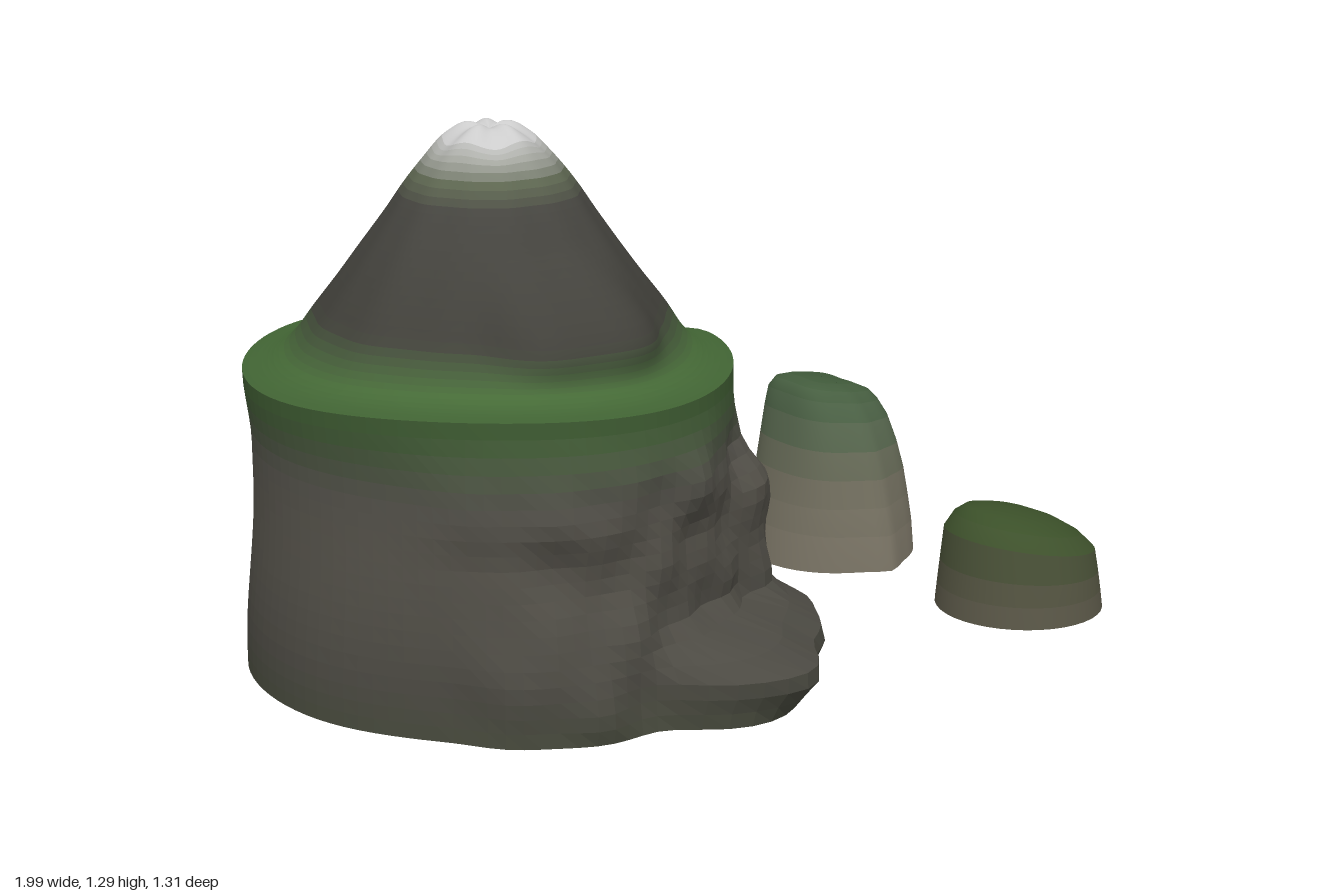
import * as THREE from 'three';

const { smoothstep, degToRad } = THREE.MathUtils;
const TAU = Math.PI * 2;

// Flat-topped bump around an angle (degrees)
function bump(a, centre, width) {
  let d = a * 180 / Math.PI - centre;
  d -= 360 * Math.round(d / 360);
  return Math.exp(-Math.pow(d / width, 4));
}

// Colour at height y from [height, hex] stops
function colourAt(stops, y) {
  const c = new THREE.Color(stops[0][1]);
  for (let i = 1; i < stops.length; i++) {
    const [y0] = stops[i - 1], [y1, hex] = stops[i];
    c.lerp(new THREE.Color(hex), THREE.MathUtils.clamp((y - y0) / (y1 - y0), 0, 1));
  }
  return c;
}

// Skins closed rings (listed from the bottom up); each strip is its own mesh so it can carry a colour
function loft(name, rings, stops, flatShading = false) {
  const n = rings[0].length;
  const geometry = new THREE.BufferGeometry().setFromPoints(rings.flat());
  const strips = [];
  for (let j = 0; j < rings.length - 1; j++) {
    const index = [];
    for (let i = 0; i < n; i++) {
      const k = (i + 1) % n;
      const a = j * n + i, b = a + n, c = (j + 1) * n + k, d = j * n + k;
      index.push(a, b, c, a, c, d);
    }
    strips.push(index);
  }
  geometry.setIndex(strips.flat());
  geometry.computeVertexNormals();

  const group = new THREE.Group();
  group.name = name;
  strips.forEach((index, j) => {
    const strip = new THREE.BufferGeometry();
    strip.setAttribute('position', geometry.attributes.position);
    strip.setAttribute('normal', geometry.attributes.normal);
    strip.setIndex(index);
    const y = (rings[j][0].y + rings[j + 1][0].y) / 2;
    const mesh = new THREE.Mesh(strip, new THREE.MeshStandardMaterial({ color: colourAt(stops, y), flatShading }));
    mesh.name = name + 'Band';
    group.add(mesh);
  });
  return group;
}

const ring = (n, point) => Array.from({ length: n }, (_, i) => point(i / n * TAU));

// Bottom cap closing a ring
function base(name, edge, hex) {
  const middle = edge.reduce((sum, p) => sum.add(p), new THREE.Vector3()).divideScalar(edge.length);
  return loft(name, [edge.map(() => middle.clone()), edge], [[0, hex]], true);
}

const SIDES = 96, RIM = 0.77, FOOT = 0.083;

// Cliff wall: an oval with rocky lobes, a low front toe and a cleft on the +x side
function cliffPoint(a, y) {
  const below = (lo, hi) => 1 - smoothstep(y, lo, hi);
  const backLobe = 0.17 * bump(a, -33, 22) * below(0.42, 0.64) * (0.85 + 0.15 * smoothstep(y, 0.08, 0.22));
  const frontLobe = 0.085 * bump(a, 26, 17) * below(0.48, 0.62);
  const toe = (0.195 * bump(a, 45, 36) + 0.045 * bump(a, 66, 14)) * below(0.18, 0.28)
    * (0.82 + 0.18 * smoothstep(y, 0.08, 0.16));
  const shoulder = 0.045 * bump(a, 106, 20) * below(0.2, 0.42);
  const belly = 0.025 * bump(a, 95, 40) * smoothstep(y, 0.45, 0.56) * below(0.62, 0.76);
  const flare = 0.015 * bump(a, 185, 35) * below(0.1, 0.5);
  const waist = 0.016 * bump(a, 180, 50) * smoothstep(y, 0.15, 0.5) * below(0.6, 0.77);
  const cleft = (0.05 + 0.05 * below(0.1, 0.7)) * Math.exp(-Math.pow(Math.sin(a / 2) * 2 / 0.1, 2));
  const rough = below(0.55, 0.75) * Math.max(bump(a, 60, 60), bump(a, -33, 24));
  const noise = 0.009 * Math.sin(11 * a + 1) * Math.sin(13 * y) + 0.008 * Math.sin(19 * a + 3) * Math.cos(21 * y)
    + 0.005 * Math.sin(7 * a - 33 * y);
  const r = 0.53 + Math.max(frontLobe, toe) + backLobe + shoulder + belly + flare - waist - cleft + noise * rough;
  const lip = 0.008 * Math.sin(3 * a + 1) * smoothstep(y, 0.6, RIM);
  const foot = -0.008 * Math.cos(a) * below(0.08, 0.2);
  return new THREE.Vector3(-0.455 + r * Math.cos(a), y + lip + foot, -0.065 + 1.05 * r * Math.sin(a));
}

function makeCliff() {
  const rows = 20;
  const rings = Array.from({ length: rows + 1 }, (_, j) =>
    ring(SIDES, a => cliffPoint(a, FOOT + (RIM - FOOT) * j / rows)));
  const wall = loft('cliffWall', rings,
    [[0.08, 0x474a3c], [0.2, 0x4b4942], [0.5, 0x56534b], [0.6, 0x53514a], [0.74, 0x3d5a31]], true);
  const cliff = new THREE.Group();
  cliff.name = 'cliff';
  cliff.add(wall, base('cliffBase', rings[0], 0x52554b));
  return cliff;
}

// Concave peak standing on a flat ledge, with a gully on the +x side and a mound at the front
function makePeak() {
  const profile = new THREE.CatmullRomCurve3([
    [0.53, RIM], [0.475, 0.782], [0.432, 0.815], [0.388, 0.872], [0.328, 0.95], [0.278, 1.02], [0.23, 1.09],
    [0.187, 1.155], [0.135, 1.22], [0.09, 1.262], [0.045, 1.285], [0, 1.275],
  ].map(([r, y]) => new THREE.Vector3(r, y, 0)));
  const rows = 44;
  const rings = Array.from({ length: rows + 1 }, (_, j) => {
    const { x: radius, y } = profile.getPoint(j / rows);
    if (j === 0) return ring(SIDES, a => cliffPoint(a, RIM));
    const blend = smoothstep(y, RIM, 0.9);
    return ring(SIDES, a => {
      const mound = 0.085 * bump(a, 92, 28) * smoothstep(y, 0.79, 0.89) * (1 - smoothstep(y, 0.9, 1.06));
      const backSlope = 0.025 * bump(a, 270, 45) * smoothstep(y, 0.8, 0.9) * (1 - smoothstep(y, 0.98, 1.15));
      const gully = 0.2 * radius * Math.exp(-Math.pow(Math.sin(a / 2) * 2 / 0.12, 2)) * smoothstep(y, 0.77, 0.82);
      const edgeCleft = 0.05 * Math.exp(-Math.pow(Math.sin(a / 2) * 2 / 0.1, 2)) * (1 - smoothstep(y, 0.77, 0.82));
      const ridges = radius * (0.01 * Math.sin(7 * a) + 0.008 * Math.sin(13 * a + 2));
      const r = radius + mound + backSlope - gully - edgeCleft + ridges * blend;
      const crag = 0.007 * Math.sin(5 * a + 1) * smoothstep(y, 1.2, 1.26) * Math.min(1, radius / 0.06);
      const lip = 0.008 * Math.sin(3 * a + 1) * (1 - blend);
      return new THREE.Vector3(
        -0.455 + 0.027 * blend + r * Math.cos(a), y + crag + lip,
        -0.065 - 0.023 * blend + r * (1.05 - 0.04 * blend) * Math.sin(a));
    });
  });
  return loft('peak', rings, [
    [0.77, 0x3f6132], [0.805, 0x466b37], [0.885, 0x403f39], [1.13, 0x464540],
    [1.18, 0x5d6650], [1.23, 0xa5a7a0], [1.27, 0xc4c4c4],
  ]);
}

// Standalone boulder from rings [y, centre x, centre z, radius x, radius z, tilt towards +x]
function makeBoulder(name, rows, stops, { square = 0, nose = 0, crease = -1 } = {}) {
  const rings = rows.map(([y, cx, cz, rx, rz, tilt], j) => ring(40, a => {
    const swell = 1 - square * (j / rows.length) * Math.cos(4 * a);
    const point = nose * Math.exp(-Math.pow((a - degToRad(90)) / 0.22, 2)) * (1 - j / rows.length);
    return new THREE.Vector3(
      cx + rx * swell * Math.cos(a), y - tilt * Math.cos(a), cz + (rz * swell + point) * Math.sin(a));
  }));
  const boulder = new THREE.Group();
  boulder.name = name;
  if (crease > 0) {
    boulder.add(loft(name + 'Side', rings.slice(0, crease + 1), stops));
    boulder.add(loft(name + 'Top', rings.slice(crease), stops));
  } else boulder.add(loft(name + 'Body', rings, stops));
  boulder.add(base(name + 'Base', rings[0], 0x5b574e));
  return boulder;
}

export function createModel() {
  const model = new THREE.Group();
  model.name = 'mountainAndBoulders';
  model.add(makeCliff(), makePeak());

  model.add(makeBoulder('tallBoulder', [
    [0.01, 0.78, -0.415, 0.212, 0.232, -0.006],
    [0.1, 0.778, -0.41, 0.2, 0.222, 0],
    [0.17, 0.777, -0.41, 0.189, 0.208, 0],
    [0.24, 0.775, -0.41, 0.177, 0.196, 0.004],
    [0.31, 0.77, -0.41, 0.162, 0.18, 0.007],
    [0.38, 0.765, -0.415, 0.145, 0.16, 0.012],
    [0.425, 0.758, -0.42, 0.128, 0.14, 0.016],
    [0.45, 0.755, -0.42, 0.107, 0.118, 0.017],
    [0.463, 0.752, -0.42, 0.07, 0.08, 0.012],
    [0.466, 0.75, -0.42, 0, 0, 0],
  ], [[0.06, 0x7b7566], [0.22, 0x716e5e], [0.36, 0x50654a], [0.46, 0x405a3a]], { square: 0.1, nose: 0.03 }));

  model.add(makeBoulder('lowBoulder', [
    [0.06, 0.79, 0.31, 0.2, 0.2, 0],
    [0.11, 0.789, 0.31, 0.194, 0.195, 0.004],
    [0.16, 0.788, 0.31, 0.188, 0.189, 0.012],
    [0.225, 0.787, 0.31, 0.18, 0.18, 0.03],
    [0.262, 0.782, 0.305, 0.15, 0.15, 0.03],
    [0.285, 0.775, 0.295, 0.11, 0.11, 0.023],
    [0.297, 0.77, 0.29, 0.06, 0.06, 0.012],
    [0.301, 0.765, 0.285, 0, 0, 0],
  ], [[0.07, 0x5d594a], [0.14, 0x535440], [0.22, 0x3b5029]], { crease: 3 }));

  return model;
}
